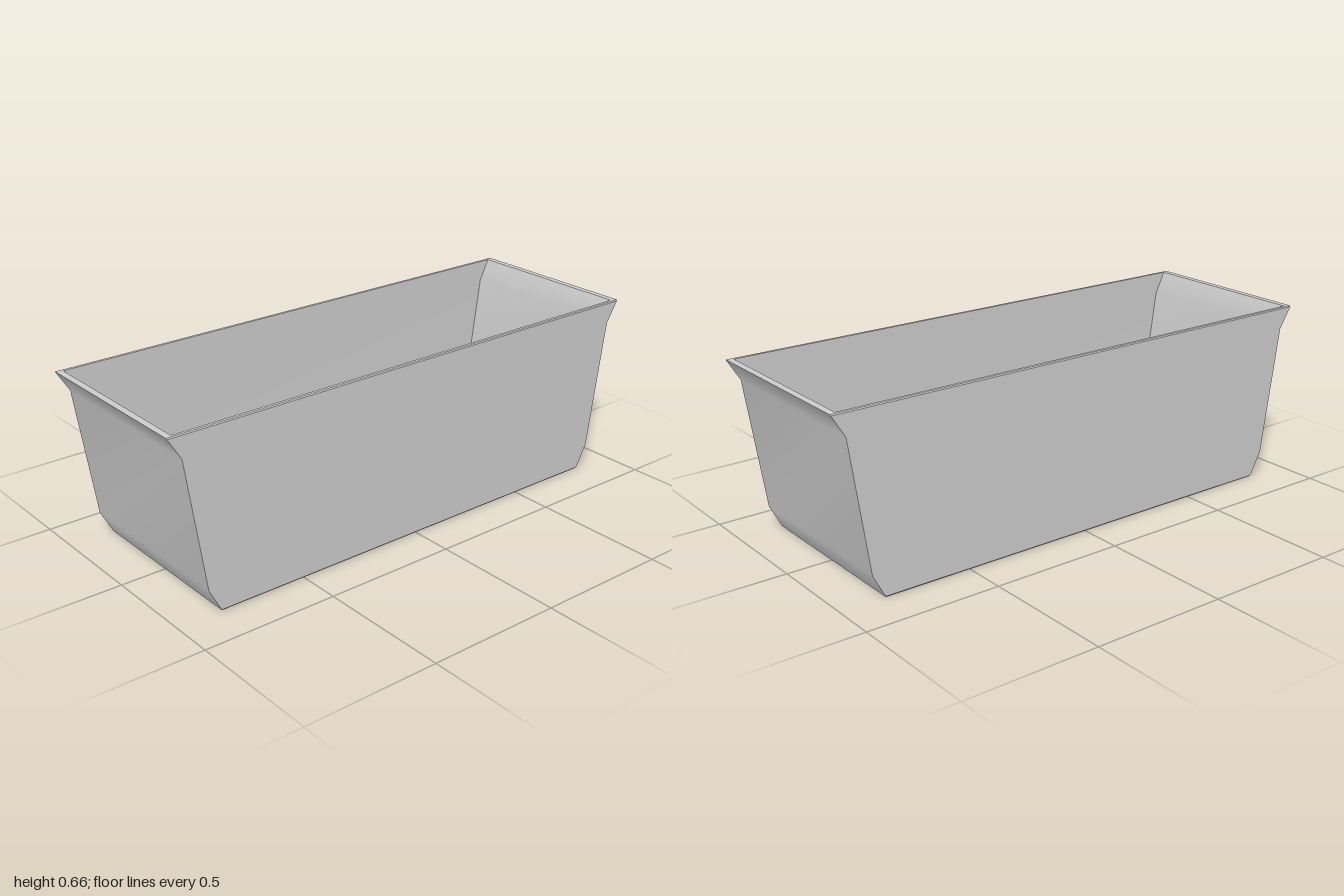
import * as THREE from 'three';

// Band of four separately smoothed sides through rectangular rings [halfX, y, halfZ];
// sides keep sharp corners because they do not share vertices.
const SIGNS = [[1, 1], [1, -1], [-1, -1], [-1, 1]];

function band(rings) {
  const pos = [], index = [];
  for (let s = 0; s < 4; s++) {
    const base = pos.length / 3;
    for (const [hx, y, hz] of rings) {
      for (const [sx, sz] of [SIGNS[s], SIGNS[(s + 1) % 4]]) pos.push(sx * hx, y, sz * hz);
    }
    for (let i = 0; i < rings.length - 1; i++) {
      const a = base + 2 * i;
      index.push(a, a + 1, a + 3, a, a + 3, a + 2);
    }
  }
  const g = new THREE.BufferGeometry();
  g.setAttribute('position', new THREE.Float32BufferAttribute(pos, 3));
  g.setIndex(index);
  g.computeVertexNormals();
  return g;
}

export function createModel() {
  const group = new THREE.Group();
  const grey = new THREE.MeshStandardMaterial({ color: 0xcccccc });
  grey.name = 'light grey';
  const add = (name, geometry) => {
    const mesh = new THREE.Mesh(geometry, grey);
    mesh.name = name;
    group.add(mesh);
    return mesh;
  };

  const H = 0.657, D = 0.345;

  // Outside: flat front and back, ends with chamfered foot and flared lip
  add('outerWalls', band([
    [0.833, 0.005, D], [0.878, 0.09, D], [0.95, 0.575, D], [0.998, H - 0.004, D],
  ]));
  add('footEdge', band([[0.83, 0, D - 0.004], [0.833, 0.005, D]]));

  // Narrow rim with a tiny bevel
  add('rimEdge', band([[0.998, H - 0.004, D], [1, H, D - 0.003]]));
  add('rim', band([[1, H, D - 0.003], [0.976, H, 0.331]]));

  // Inside: flared lip, sloping ends, then a large round fillet down to the floor
  const R = 0.25, cx = 0.64, cz = 0.083, floorY = 0.03, start = 0.145, steps = 14;
  const inner = [[0.976, H, 0.331], [0.936, 0.575, 0.331]];
  for (let i = 0; i <= steps; i++) {
    const a = start + (Math.PI / 2 - start) * i / steps;
    inner.push([cx + R * Math.cos(a), floorY + R * (1 - Math.sin(a)), cz + R * Math.cos(a)]);
  }
  add('innerWalls', band(inner));

  // Flat inner floor and underside
  const floor = add('innerFloor', new THREE.PlaneGeometry(cx * 2, cz * 2));
  floor.rotation.x = -Math.PI / 2;
  floor.position.y = floorY;
  const base = add('underside', new THREE.PlaneGeometry(1.66, (D - 0.004) * 2));
  base.rotation.x = Math.PI / 2;

  return group;
}
